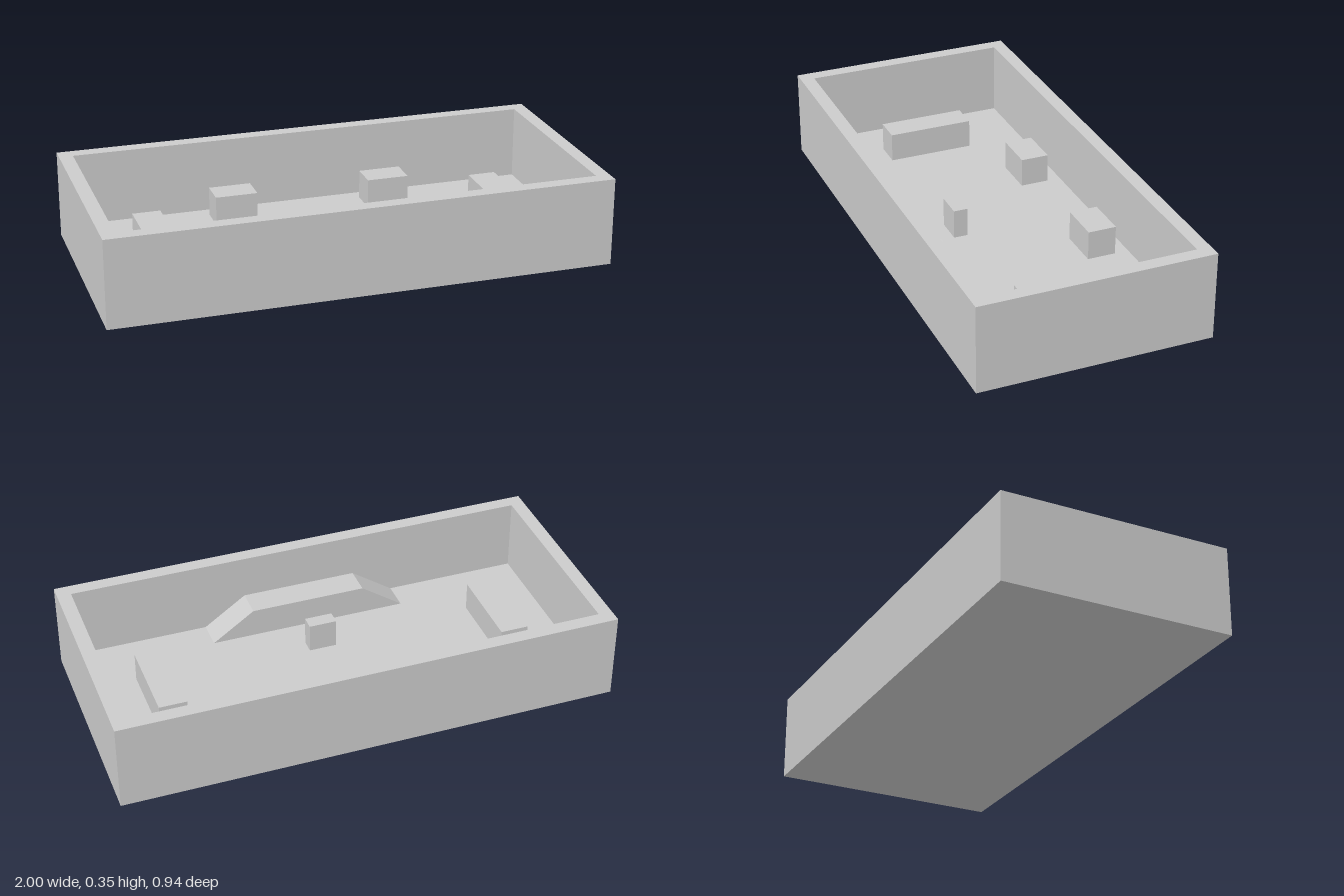
import * as THREE from 'three';

const HALF_X = 1, HALF_Z = 0.468, HEIGHT = 0.355;
const WALL = 0.056, FLOOR = 0.059, BLOCK_TOP = 0.177;

export function createModel() {
  const model = new THREE.Group();
  model.name = 'tray';
  const material = new THREE.MeshStandardMaterial({ color: 0xcccccc, flatShading: true });

  const add = (name, geometry) => {
    const mesh = new THREE.Mesh(geometry, material);
    mesh.name = name;
    model.add(mesh);
    return mesh;
  };

  // Rectangle outline, reusable as outer contour or hole
  const rectangle = (Type, hx, hz) => new Type([
    new THREE.Vector2(-hx, -hz), new THREE.Vector2(hx, -hz),
    new THREE.Vector2(hx, hz), new THREE.Vector2(-hx, hz),
  ]);

  // Continuous wall around the tray
  const innerX = HALF_X - WALL, innerZ = HALF_Z - WALL;
  const outline = rectangle(THREE.Shape, HALF_X, HALF_Z);
  outline.holes.push(rectangle(THREE.Path, innerX, innerZ));
  const wall = new THREE.ExtrudeGeometry(outline, { depth: HEIGHT, bevelEnabled: false });
  wall.rotateX(-Math.PI / 2);
  add('wall', wall);

  // Floor plate inside the wall
  add('floor', new THREE.BoxGeometry(innerX * 2, FLOOR, innerZ * 2)).position.y = FLOOR / 2;

  // Block standing on the floor
  const block = (name, x, z, width, depth) => {
    const height = BLOCK_TOP - FLOOR;
    add(name, new THREE.BoxGeometry(width, height, depth))
      .position.set(x, FLOOR + height / 2, z);
  };
  for (const [side, s] of [['left', 1], ['right', -1]]) {
    block(`${side}SideBlock`, s * 0.706, 0, 0.113, 0.35);
    block(`${side}BackBlock`, s * 0.321, -0.298, 0.172, 0.115);
  }
  block('centrePost', 0, 0.146, 0.112, 0.057);

  // Platform against the front wall, ramped at both ends
  const profile = new THREE.Shape([
    new THREE.Vector2(-0.405, FLOOR), new THREE.Vector2(0.405, FLOOR),
    new THREE.Vector2(0.235, BLOCK_TOP), new THREE.Vector2(-0.235, BLOCK_TOP),
  ]);
  const rampStart = 0.295;
  add('rampedPlatform', new THREE.ExtrudeGeometry(profile, {
    depth: innerZ - rampStart, bevelEnabled: false,
  })).position.z = rampStart;

  return model;
}
